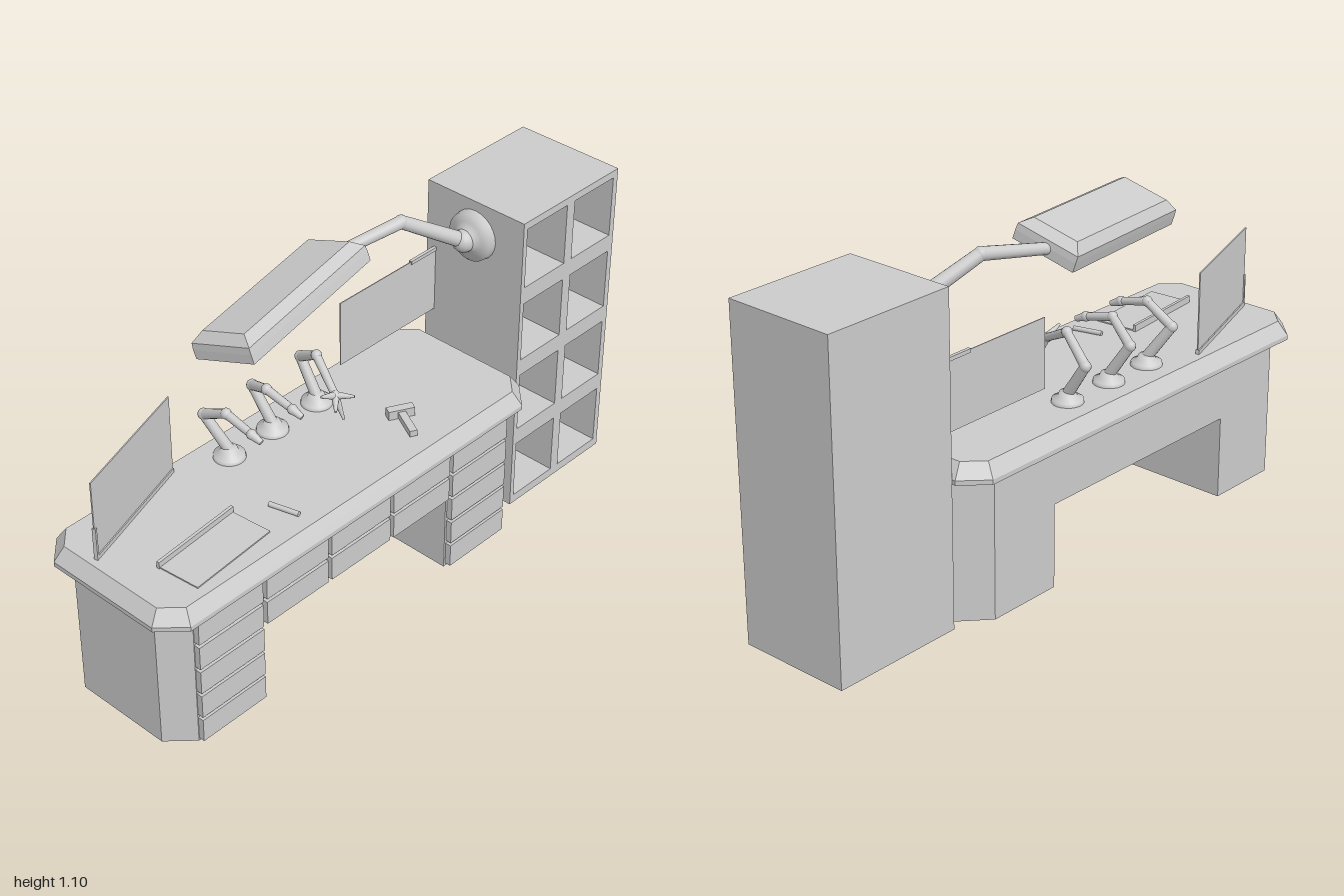
import * as THREE from 'three';

const flat = new THREE.MeshStandardMaterial({ color: 0xcccccc, flatShading: true, side: THREE.DoubleSide });
const smooth = new THREE.MeshStandardMaterial({ color: 0xcccccc });
const V = (x, y, z) => new THREE.Vector3(x, y, z);

function add(parent, name, geo, x = 0, y = 0, z = 0, mat = flat) {
  const m = new THREE.Mesh(geo, mat);
  m.name = name;
  m.position.set(x, y, z);
  parent.add(m);
  return m;
}

// Box given by its min and max corners
function box(parent, name, x0, x1, y0, y1, z0, z1) {
  return add(parent, name, new THREE.BoxGeometry(x1 - x0, y1 - y0, z1 - z0),
    (x0 + x1) / 2, (y0 + y1) / 2, (z0 + z1) / 2);
}

// Tapered round rod between two points
function rod(parent, name, a, b, r0, r1 = r0) {
  const d = b.clone().sub(a);
  const mid = a.clone().add(b).multiplyScalar(0.5);
  const m = add(parent, name, new THREE.CylinderGeometry(r1, r0, d.length(), 14), mid.x, mid.y, mid.z, smooth);
  m.quaternion.setFromUnitVectors(V(0, 1, 0), d.normalize());
  return m;
}

function ball(parent, name, p, r) {
  return add(parent, name, new THREE.SphereGeometry(r, 14, 10), p.x, p.y, p.z, smooth);
}

// Solid through horizontal rings of equal point count, counterclockwise from above
function loft(rings) {
  const out = [], n = rings[0].length, top = rings[rings.length - 1];
  const tri = (...ps) => ps.forEach(p => out.push(...p));
  for (let k = 0; k + 1 < rings.length; k++)
    for (let i = 0; i < n; i++) {
      const j = (i + 1) % n, lo = rings[k], hi = rings[k + 1];
      tri(lo[i], lo[j], hi[j]);
      tri(lo[i], hi[j], hi[i]);
    }
  for (let i = 1; i + 1 < n; i++) {
    tri(top[0], top[i], top[i + 1]);
    tri(rings[0][0], rings[0][i + 1], rings[0][i]);
  }
  const g = new THREE.BufferGeometry();
  g.setAttribute('position', new THREE.Float32BufferAttribute(out, 3));
  g.computeVertexNormals();
  return g;
}

// Rectangle ring with separate corner cuts (in x and z) on the left and right
function ring(y, x0, x1, h, lx, lz, rx, rz) {
  return [[x1, y, h - rz], [x1, y, -h + rz], [x1 - rx, y, -h], [x0 + lx, y, -h],
    [x0, y, -h + lz], [x0, y, h - lz], [x0 + lx, y, h], [x1 - rx, y, h]];
}
const rect = (y, a, b) => [[a, y, b], [a, y, -b], [-a, y, -b], [-a, y, b]];

function rectHole(x0, x1, y0, y1) {
  return new THREE.Path([[x0, y0], [x0, y1], [x1, y1], [x1, y0]].map(p => new THREE.Vector2(...p)));
}
function rectShape(x0, x1, y0, y1) {
  return new THREE.Shape([[x0, y0], [x1, y0], [x1, y1], [x0, y1]].map(p => new THREE.Vector2(...p)));
}

function buildDesk() {
  const g = new THREE.Group();
  g.name = 'desk';
  const c = 0.075, ci = 0.057;
  add(g, 'desktop', loft([
    ring(0.465, -1, 0.55, 0.277, c, c, c, c),
    ring(0.48, -1, 0.55, 0.277, c, c, c, c),
    ring(0.525, -0.968, 0.518, 0.247, ci, ci, ci, ci)]));
  // Pedestals with cut outer corners, and the bridge between them
  add(g, 'leftPedestal', loft([0, 0.465].map(y => ring(y, -0.96, -0.63, 0.24, c, c, 0, 0))));
  add(g, 'rightPedestal', loft([0, 0.465].map(y => ring(y, 0.17, 0.55, 0.24, 0, 0, 0.12, 0.11))));
  box(g, 'bridge', -0.63, 0.17, 0.275, 0.465, -0.24, 0.24);
  // Drawer fronts: five rows on the pedestals, two on the bridge
  for (let col = 0; col < 5; col++) {
    const x = -0.758 + col * 0.265, rows = col % 4 === 0 ? 5 : 2;
    for (let row = 0; row < rows; row++) {
      const y = 0.415 - row * 0.0912;
      box(g, 'drawer', x - 0.125, x + 0.125, y - 0.04, y + 0.04, 0.235, 0.26);
    }
  }
  return g;
}

function buildShelf() {
  const g = new THREE.Group();
  g.name = 'shelfCabinet';
  const s = rectShape(0.55, 1, 0, 1.06);
  for (const x of [0.567, 0.791])
    for (let r = 0; r < 4; r++) s.holes.push(rectHole(x, x + 0.188, 0.03 + r * 0.266, 0.237 + r * 0.266));
  add(g, 'shelfGrid', new THREE.ExtrudeGeometry(s, { depth: 0.36, bevelEnabled: false }), 0, 0, -0.17);
  box(g, 'shelfBack', 0.55, 1, 0, 1.06, -0.19, -0.17);
  return g;
}

function buildLamp() {
  const g = new THREE.Group();
  g.name = 'lamp';
  // Wall mount and jointed arm
  const profile = [[0, 0.065], [0.025, 0.06], [0.04, 0.045], [0.055, 0.03], [0.08, 0.025], [0.083, 0]]
    .reverse().map(p => new THREE.Vector2(...p));
  const mount = add(g, 'lampMount', new THREE.LatheGeometry(profile, 24), 0.55, 0.945, 0, smooth);
  mount.rotation.z = Math.PI / 2;
  const a = V(0.5, 0.945, 0), b = V(0.31, 1.06, -0.085), e = V(0.07, 1.025, -0.145);
  ball(g, 'lampJoint', a, 0.037);
  rod(g, 'lampArm', a, b, 0.025, 0.021);
  ball(g, 'lampJoint', b, 0.022);
  rod(g, 'lampArm', b, e, 0.021, 0.018);
  // Tilted head with a recessed, lit underside
  const head = new THREE.Group();
  head.name = 'lampHead';
  head.position.set(-0.187, 1.025, -0.093);
  head.rotation.set(-0.3, 0.165, 0.055, 'YZX');
  g.add(head);
  add(head, 'lampShell', loft([rect(-0.005, 0.29, 0.107), rect(0.016, 0.288, 0.106), rect(0.043, 0.26, 0.077)]));
  const rim = rectShape(-0.29, 0.29, -0.107, 0.107);
  rim.holes.push(rectHole(-0.265, 0.265, -0.085, 0.085));
  const rimGeo = new THREE.ExtrudeGeometry(rim, { depth: 0.03, bevelEnabled: false }).rotateX(-Math.PI / 2);
  add(head, 'lampRim', rimGeo, 0, -0.035, 0);
  box(head, 'lampDivider', -0.265, 0.265, -0.025, -0.005, -0.02, 0.02);
  for (const z of [-0.05, 0.05]) rod(head, 'lampTube', V(-0.265, -0.014, z), V(0.265, -0.014, z), 0.012);
  return g;
}

// Small jointed tool arm: base, elbow, peak and tip
function buildToolArm(base, elbow, peak, tip, claw) {
  const g = new THREE.Group();
  g.name = 'toolArm';
  const profile = [[0.05, 0], [0.048, 0.012], [0.03, 0.02], [0.024, 0.034], [0, 0.04]].map(p => new THREE.Vector2(...p));
  add(g, 'toolArmBase', new THREE.LatheGeometry(profile, 20), base.x, base.y, base.z, smooth);
  const pts = [base.clone().add(V(0, 0.025, 0)), elbow, peak, tip];
  for (let i = 0; i < 3; i++) {
    rod(g, 'toolArmLink', pts[i], pts[i + 1], 0.018 - i * 0.002, 0.016 - i * 0.002);
    ball(g, 'toolArmJoint', pts[i + 1], 0.018 - i * 0.001);
  }
  if (claw) {
    // Gripper fingers spreading from the wrist
    for (const d of [V(-0.06, 0.025, 0.0), V(0.005, -0.075, 0.03), V(0.03, 0.005, 0.05), V(-0.04, -0.02, 0.04)])
      rod(g, 'clawFinger', tip, tip.clone().add(d), 0.013, 0.004);
  } else {
    rod(g, 'toolTip', tip, tip.clone().add(V(0.005, -0.015, 0.035)), 0.015, 0.009);
  }
  return g;
}

function buildDeskItems() {
  const g = new THREE.Group();
  g.name = 'deskItems';
  // Standing screen, turned toward the seat
  const screen = new THREE.Group();
  screen.name = 'standingScreen';
  screen.position.set(-0.735, 0.525, -0.15);
  screen.rotation.y = 0.32;
  box(screen, 'screenPanel', -0.221, 0.221, 0.005, 0.27, -0.002, 0.002);
  box(screen, 'screenBase', -0.221, 0.221, 0, 0.014, -0.006, 0.006);
  box(screen, 'screenPost', -0.222, -0.214, 0, 0.11, -0.006, 0.006);
  g.add(screen);
  // Screen held by the cabinet
  box(g, 'wallScreen', 0.12, 0.55, 0.605, 0.83, -0.157, -0.154);
  box(g, 'wallScreenBracket', 0.435, 0.55, 0.822, 0.834, -0.161, -0.15);
  // Thin input pad with a raised rear bar
  const pad = new THREE.Group();
  pad.name = 'inputPad';
  pad.position.set(-0.688, 0.525, 0.13);
  pad.rotation.y = 0.09;
  box(pad, 'padPlate', -0.155, 0.155, 0, 0.004, -0.07, 0.07);
  box(pad, 'padBar', -0.158, 0.158, 0, 0.022, -0.078, -0.068);
  g.add(pad);
  rod(g, 'pen', V(-0.445, 0.532, 0.1), V(-0.42, 0.532, 0.195), 0.008);
  // Hammer lying on the desktop
  const hammer = new THREE.Group();
  hammer.name = 'hammer';
  hammer.position.set(0.135, 0.54, 0.08);
  hammer.rotation.y = -0.48;
  box(hammer, 'hammerHandle', -0.012, 0.012, -0.012, 0.008, 0, 0.115);
  box(hammer, 'hammerHead', -0.042, 0.042, -0.015, 0.015, -0.014, 0.014);
  g.add(hammer);
  return g;
}

export function createModel() {
  const g = new THREE.Group();
  g.name = 'workbench';
  g.add(buildDesk(), buildShelf(), buildLamp(), buildDeskItems());
  g.add(buildToolArm(V(-0.36, 0.525, -0.15), V(-0.39, 0.66, -0.222), V(-0.395, 0.715, -0.12), V(-0.392, 0.69, -0.02), false));
  g.add(buildToolArm(V(-0.18, 0.525, -0.15), V(-0.19, 0.66, -0.222), V(-0.23, 0.715, -0.12), V(-0.225, 0.69, -0.02), false));
  g.add(buildToolArm(V(0.01, 0.525, -0.15), V(0.015, 0.66, -0.222), V(-0.02, 0.73, -0.12), V(-0.065, 0.665, 0.0), true));
  return g;
}
